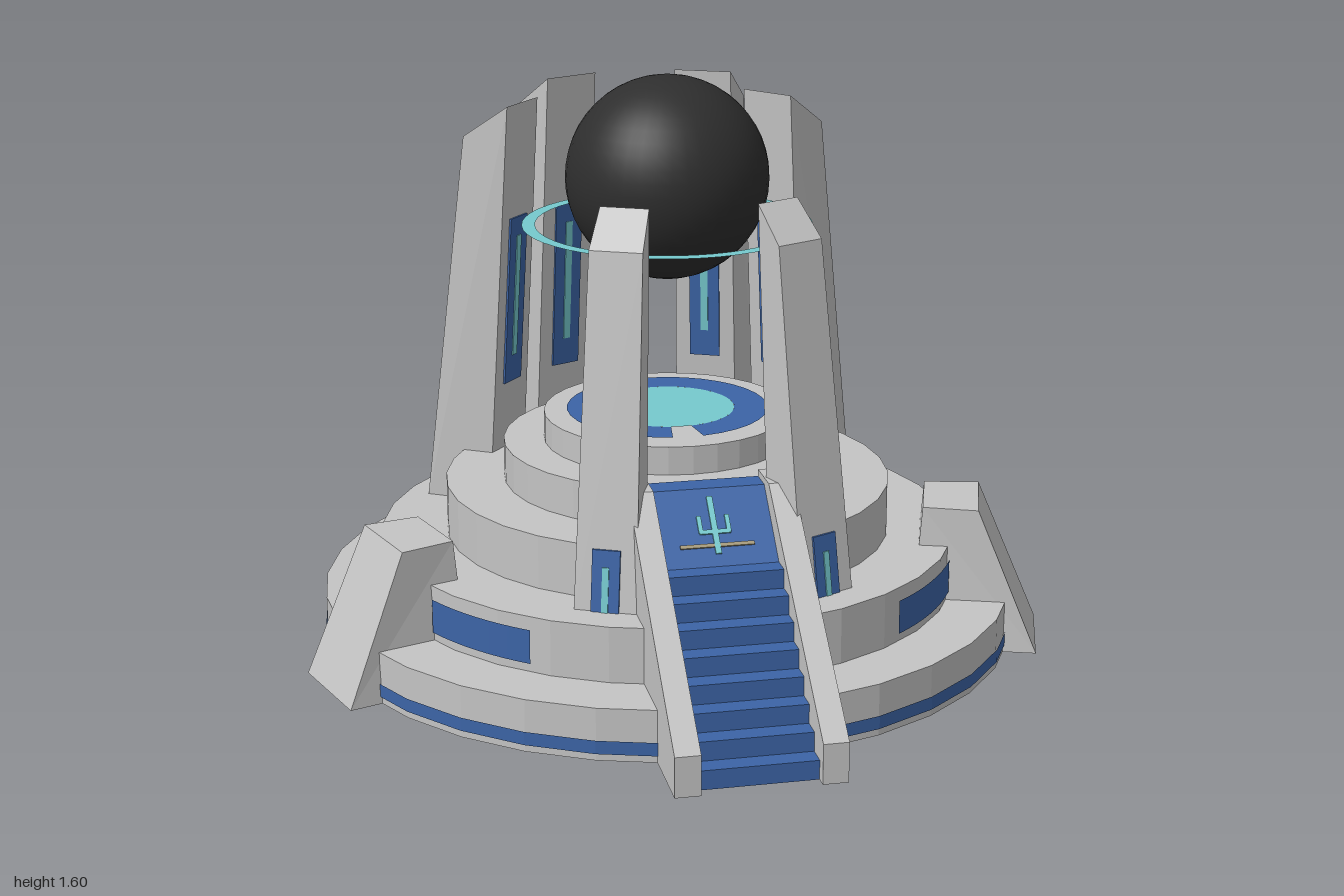
import * as THREE from 'three';

const material = (name, color, side = THREE.FrontSide) => {
  const m = new THREE.MeshStandardMaterial({ color, side });
  m.name = name;
  return m;
};

// Solid from a convex side profile of [z, y, halfWidth] points, listed from outer base over the top to inner base
function loft(profile) {
  const pos = [];
  const n = profile.length;
  const at = (i, s) => { const [z, y, w] = profile[i % n]; return [s * w, y, z]; };
  for (let i = 0; i < n; i++) {
    const a = at(i, -1), b = at(i, 1), c = at(i + 1, 1), d = at(i + 1, -1);
    pos.push(...a, ...b, ...c, ...a, ...c, ...d);
  }
  for (let i = 1; i < n - 1; i++) {
    pos.push(...at(0, -1), ...at(i, -1), ...at(i + 1, -1));
    pos.push(...at(0, 1), ...at(i + 1, 1), ...at(i, 1));
  }
  const g = new THREE.BufferGeometry();
  g.setAttribute('position', new THREE.Float32BufferAttribute(pos, 3));
  g.computeVertexNormals();
  return g;
}

const flat = (g) => {
  const f = g.toNonIndexed();
  f.computeVertexNormals();
  return f;
};

export function createModel() {
  const stone = material('pale stone', 0xc4c4c4);
  const blue = material('blue panel', 0x3c64a6, THREE.DoubleSide);
  const teal = material('glowing teal', 0x76cace, THREE.DoubleSide);
  const black = material('black orb', 0x2e2e2e);
  const tan = material('tan trim', 0xa89c7c);

  const model = new THREE.Group();
  model.name = 'orbMonument';
  // The stair axis (local +z) points diagonally to the front left
  const body = new THREE.Group();
  body.name = 'monument';
  body.position.set(-0.017, 0, -0.017);
  body.rotation.y = Math.PI / 4;
  model.add(body);

  const add = (parent, name, geo, mat, x = 0, y = 0, z = 0) => {
    const m = new THREE.Mesh(geo, mat);
    m.name = name;
    m.position.set(x, y, z);
    parent.add(m);
    return m;
  };
  const spoke = (name, degrees) => {
    const g = new THREE.Group();
    g.name = name;
    g.rotation.y = THREE.MathUtils.degToRad(degrees);
    body.add(g);
    return g;
  };

  // Stacked round tiers
  let floor = 0;
  [[0.98, 0.145], [0.815, 0.3], [0.63, 0.45], [0.465, 0.56], [0.35, 0.64]].forEach(([r, top], i) => {
    add(body, `tier${i + 1}`, flat(new THREE.CylinderGeometry(r, r, top - floor, 32)), stone, 0, (top + floor) / 2);
    floor = top;
  });
  add(body, 'baseBand', flat(new THREE.CylinderGeometry(0.984, 0.984, 0.037, 32, 1, true)), blue, 0, 0.038);

  // Inlaid floor on the top tier
  const inlay = new THREE.RingGeometry(0.19, 0.285, 32, 1, -Math.PI / 2 + 0.15, Math.PI * 2 - 0.3);
  add(body, 'floorRing', inlay.rotateX(-Math.PI / 2), blue, 0, 0.646);
  add(body, 'floorDisc', new THREE.CircleGeometry(0.19, 32).rotateX(-Math.PI / 2), teal, 0, 0.646);

  // Floating orb and its halo
  add(body, 'orb', new THREE.SphereGeometry(0.283, 40, 24), black, 0, 1.312);
  add(body, 'halo', new THREE.RingGeometry(0.368, 0.405, 48).rotateX(-Math.PI / 2), teal, 0, 1.18);

  // Thin plate lying on a leaning face; dir is +1 outward, -1 inward
  const plate = (parent, name, zAt, dir, y0, y1, w, lift, mat) => {
    const out = dir > 0 ? lift : 0.001, inn = dir > 0 ? -0.001 : -lift;
    add(parent, name, loft([
      [zAt(y0) + out, y0, w], [zAt(y1) + out, y1, w],
      [zAt(y1) + inn, y1, w], [zAt(y0) + inn, y0, w],
    ]), mat);
  };

  // Leaning pillar with an outer plaque and a tall inner panel
  function pillar(name, degrees, p) {
    const g = spoke(name, degrees);
    const y0 = 0.295;
    add(g, 'shaft', loft([
      [p.outBase, y0, p.w[0]], [p.outTop, p.top - 0.095, p.w[1]],
      [p.inTop, p.top, p.w[2]], [p.inBase, y0, p.w[3]],
    ]), stone);
    const face = (a, b, h) => (y) => a + (b - a) * (y - y0) / (h - y0);
    const outer = face(p.outBase, p.outTop, p.top - 0.095);
    const inner = face(p.inBase, p.inTop, p.top);
    plate(g, 'outerPlaque', outer, 1, 0.3, 0.465, 0.038, 0.006, blue);
    plate(g, 'outerLight', outer, 1, 0.3, 0.42, 0.009, 0.009, teal);
    plate(g, 'innerPanel', inner, -1, 0.65, 1.145, 0.045, 0.006, blue);
    plate(g, 'innerLight', inner, -1, 0.73, 1.09, 0.011, 0.009, teal);
  }
  const tall = { outBase: 0.735, outTop: 0.605, inTop: 0.465, inBase: 0.54, w: [0.124, 0.095, 0.083, 0.092] };
  const short = { outBase: 0.715, outTop: 0.58, inTop: 0.485, inBase: 0.56, w: [0.085, 0.072, 0.066, 0.075], top: 1.335 };

  for (const s of [-1, 1]) {
    const side = s > 0 ? 'Left' : 'Right';
    pillar(`rearPillar${side}`, s * 155.5, { ...tall, top: 1.525 });
    pillar(`midPillar${side}`, s * 130, { ...tall, top: 1.478 });
    pillar(`frontPillar${side}`, s * 25, short);

    // Sloped buttress on the base
    add(spoke(`buttress${side}`, s * 72), 'buttressBlock', loft([
      [1.058, 0, 0.148], [0.885, 0.41, 0.125], [0.73, 0.41, 0.112], [0.7, 0, 0.14],
    ]), stone);

    // Curved plaque on the second tier
    const arc = THREE.MathUtils.degToRad(24.5);
    const plaque = new THREE.CylinderGeometry(0.82, 0.82, 0.095, 8, 1, true, -arc / 2, arc);
    add(spoke(`tierPlaque${side}`, s * 50), 'plaque', plaque, blue, 0, 0.218);

    // Stair rail
    add(body, `stairRail${side}`, loft([
      [1.162, 0, 0.034], [1.162, 0.11, 0.034], [0.57, 0.597, 0.034], [0.45, 0.597, 0.034], [0.45, 0, 0.034],
    ]), stone, s * 0.19);
  }

  // Stair: eight steps below a sloped panel
  const steps = 8, run = 0.055, rise = 0.0525;
  for (let i = 0; i < steps; i++) {
    const h = rise * (steps - i);
    add(body, 'step', new THREE.BoxGeometry(0.312, h, run), blue, 0, h / 2, 0.69 + run * (i + 0.5));
  }
  add(body, 'stairPanel', loft([
    [0.69, 0, 0.156], [0.69, 0.42, 0.156], [0.52, 0.578, 0.156], [0.45, 0.578, 0.156], [0.45, 0, 0.156],
  ]), blue);

  // Branching ornament on the panel
  const ornament = new THREE.Group();
  ornament.name = 'panelOrnament';
  ornament.position.set(0, 0.499, 0.605);
  ornament.rotation.x = -Math.atan2(0.17, 0.158);
  body.add(ornament);
  const strip = (name, w, h, x, y, mat = teal) => add(ornament, name, new THREE.BoxGeometry(w, h, 0.006), mat, x, y, 0.002);
  strip('stem', 0.016, 0.17, 0, 0.005);
  for (const s of [-1, 1]) {
    strip('branch', 0.04, 0.012, s * 0.022, -0.015);
    strip('branchTip', 0.012, 0.05, s * 0.038, 0.008);
  }
  strip('crossBar', 0.2, 0.01, 0, -0.055, tan);

  return model;
}
